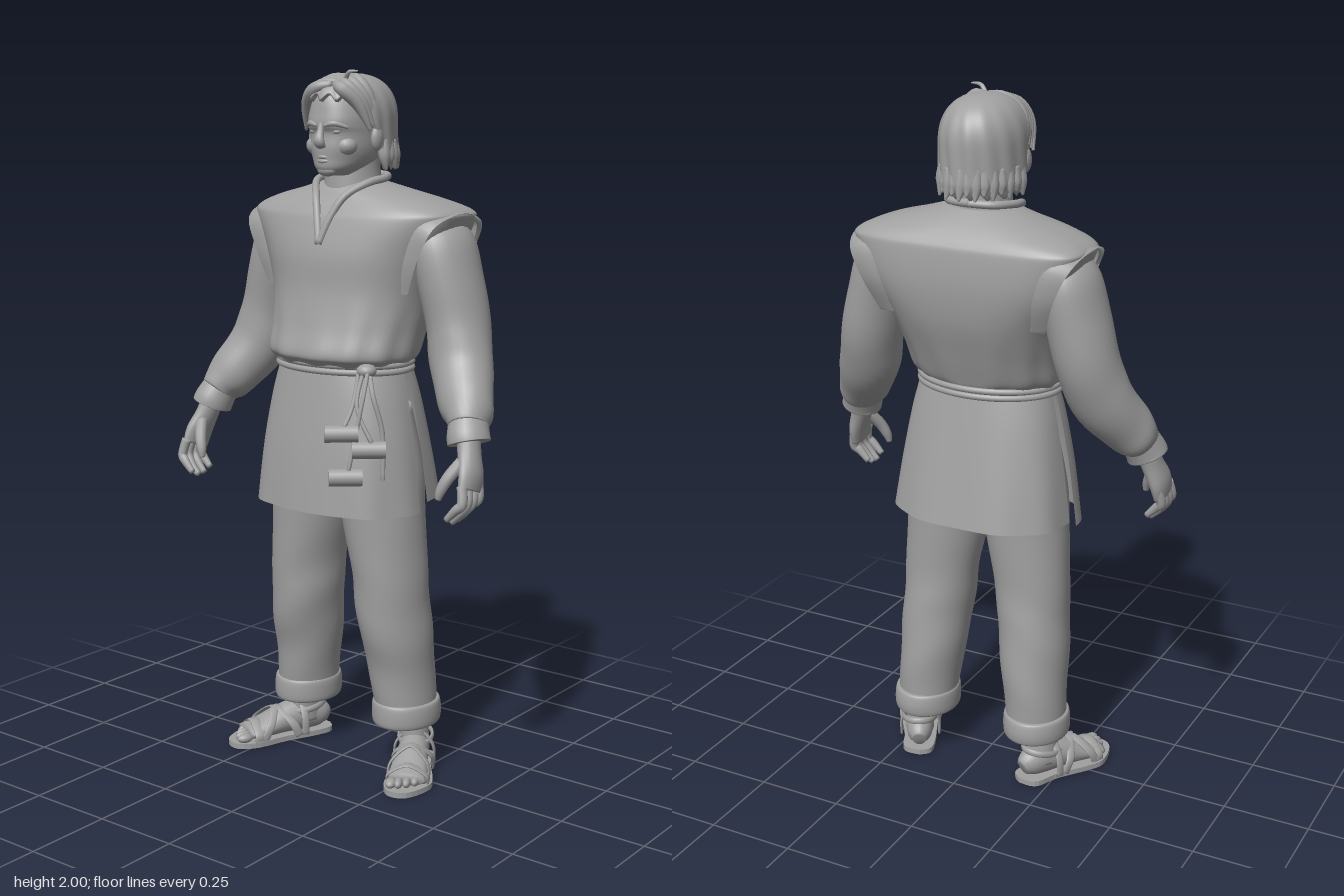
import * as THREE from 'three';

const grey = new THREE.MeshStandardMaterial({ color: 0xa0a0a0, side: THREE.DoubleSide });
grey.name = 'clay grey';
const { smoothstep, lerp } = THREE.MathUtils;

// Smooth interpolation through rows of numbers
function spline(rows, sub) {
  const row = i => rows[Math.min(Math.max(i, 0), rows.length - 1)];
  return Array.from({ length: (rows.length - 1) * sub + 1 }, (_, n) => {
    const i = Math.floor(n / sub), t = n / sub - i, [p, a, b, q] = [-1, 0, 1, 2].map(k => row(i + k));
    return a.map((v, j) => v + 0.5 * t * (b[j] - p[j] + t * (2 * p[j] - 5 * v + 4 * b[j] - q[j] + t * (3 * (v - b[j]) + q[j] - p[j]))));
  });
}

// Surface through rings of points, listed from top to bottom
function skin(rings, closed = true) {
  const n = rings[0].length, index = [];
  for (let i = 0; i < rings.length - 1; i++)
    for (let j = 0; j < (closed ? n : n - 1); j++) {
      const a = i * n + j, c = i * n + (j + 1) % n;
      index.push(a, c, a + n, c, c + n, a + n);
    }
  const g = new THREE.BufferGeometry().setFromPoints(rings.flat());
  g.setIndex(index);
  g.computeVertexNormals();
  return g;
}

function middle(ring) {
  const c = ring.reduce((s, p) => s.add(p), new THREE.Vector3()).divideScalar(ring.length);
  return ring.map(() => c);
}
const capped = rings => [middle(rings[0]), ...rings, middle(rings[rings.length - 1])];
const signedPow = (v, e) => Math.sign(v) * Math.abs(v) ** e;

// Horizontal sections: [y, centre x, half width, widest z, front z, back z, roundness front, back]
function loft(rows, { a0 = 0, a1 = Math.PI * 2, seg = 48, fold = () => 0 } = {}) {
  const open = a1 - a0 < 6.28;
  const rings = spline(rows.map(r => [...r, 2, 2].slice(0, 8)), 6).map(([y, cx, w, cz, zf, zb, nf, nb]) =>
    Array.from({ length: open ? seg + 1 : seg }, (_, j) => {
      const a = a0 + (a1 - a0) * j / seg, s = Math.sin(a), e = 2 / (s > 0 ? nf : nb), k = 1 + fold(y, a);
      const depth = s > 0 ? zf - cz : cz - zb;
      return new THREE.Vector3(cx + k * w * signedPow(Math.cos(a), e), y, cz + k * depth * signedPow(s, e));
    }));
  return skin(open ? rings : capped(rings), !open);
}

// Tapered tube along points [x, y, z, radius across, radius along ref]
function limb(points, ref = [0, 0, 1], seg = 14, fold = () => 0) {
  const rows = spline(points.map(p => [...p, p[3]].slice(0, 5)), 5);
  const at = i => new THREE.Vector3(...rows[Math.min(Math.max(i, 0), rows.length - 1)].slice(0, 3));
  return skin(capped(rows.map((r, i) => {
    const t = at(i + 1).sub(at(i - 1)).normalize(), v = new THREE.Vector3(...ref);
    v.addScaledVector(t, -v.dot(t)).normalize();
    const u = v.clone().cross(t);
    return Array.from({ length: seg }, (_, j) => {
      const a = j / seg * Math.PI * 2, k = 1 + fold(i / rows.length, a);
      return at(i).addScaledVector(u, Math.cos(a) * r[3] * k).addScaledVector(v, Math.sin(a) * r[4] * k);
    });
  })));
}

function add(parent, name, geometry, pos = [0, 0, 0], scale = [1, 1, 1], turn = [0, 0, 0]) {
  const m = new THREE.Mesh(geometry, grey);
  m.name = name;
  m.position.set(...pos);
  m.scale.set(...scale);
  m.rotation.set(...turn);
  parent.add(m);
}
const ball = (parent, name, pos, scale) => add(parent, name, new THREE.SphereGeometry(1, 18, 12), pos, scale);

function makeHead(g) {
  add(g, 'skull', loft([
    [1.965, 0, 0.05, -0.04, 0.05, -0.1], [1.93, 0, 0.082, -0.04, 0.085, -0.14], [1.88, 0, 0.09, -0.04, 0.097, -0.16, 2.4],
    [1.85, 0, 0.092, -0.04, 0.1, -0.16, 2.4], [1.828, 0, 0.092, -0.04, 0.09, -0.15, 2.4], [1.79, 0, 0.09, -0.03, 0.093, -0.14, 2.2],
    [1.76, 0, 0.082, -0.02, 0.092, -0.12], [1.735, 0, 0.064, 0, 0.09, -0.1], [1.715, 0, 0.038, 0.02, 0.076, -0.07]]));
  add(g, 'neck', loft([[1.78, 0, 0.075, -0.05, 0.03, -0.13], [1.72, 0, 0.075, -0.05, 0.035, -0.13], [1.62, 0, 0.09, -0.05, 0.04, -0.13]]));
  add(g, 'nose', limb([[0, 1.862, 0.09, 0.009], [0, 1.835, 0.098, 0.01], [0, 1.808, 0.105, 0.016, 0.013], [0, 1.793, 0.095, 0.015, 0.008]]));
  for (const [name, edge, y] of [['upperLip', 1.762, 1.766], ['lowerLip', 1.757, 1.754]])
    add(g, name, limb([[-0.032, edge, 0.077, 0.002], [0, y, 0.09, 0.006], [0.032, edge, 0.077, 0.002]], [0, 1, 0]));
  ball(g, 'chin', [0, 1.73, 0.068], [0.032, 0.018, 0.02]);
  for (const s of [-1, 1]) {
    ball(g, 'eye', [s * 0.036, 1.834, 0.076], [0.016, 0.008, 0.011]);
    add(g, 'brow', limb([[s * 0.012, 1.85, 0.096, 0.006], [s * 0.04, 1.856, 0.09, 0.008], [s * 0.07, 1.845, 0.066, 0.004]], [0, 1, 0]));
    ball(g, 'cheek', [s * 0.048, 1.795, 0.048], [0.034, 0.028, 0.031]);
    ball(g, 'ear', [s * 0.108, 1.815, -0.015], [0.014, 0.034, 0.022]);
  }
  // Hair shell: low at the nape, high over the forehead
  const hairPoint = (a, t) => {
    const f = Math.sin(a), hem = lerp(1.735, 1.92, smoothstep(f, -0.15, 0.6)) + 0.01 * Math.sin(15 * a);
    const y = 1.99 - (1.99 - hem) * t ** 1.6, h = Math.max((y - 1.86) / 0.13, 0);
    const r = Math.max(1 - h ** 2.4, 0) ** (1 / 2.4) * (1 + 0.022 * t * Math.sin(15 * a + 5 * t)) * (t > 0.99 ? 0.88 : 1);
    return new THREE.Vector3(0.118 * r * Math.cos(a), y, -0.04 + 0.15 * r * f);
  };
  add(g, 'hair', skin(Array.from({ length: 22 }, (_, i) => Array.from({ length: 90 }, (_, j) => hairPoint(j / 45 * Math.PI, i / 21)))));
  for (let i = 0; i < 17; i++) {
    const a = Math.PI + 0.05 + i / 16 * (Math.PI - 0.1), c = Math.cos(a), s = Math.sin(a);
    add(g, 'napeLock', limb([[0.105 * c, 1.81, -0.04 + 0.135 * s, 0.014], [0.11 * c, 1.765, -0.04 + 0.14 * s, 0.017],
      [0.116 * c, 1.728 + 0.014 * (i % 2), -0.04 + 0.155 * s, 0.003]], [0, 0.3, 1], 8));
  }
  // Locks swept from the parting down to the temples
  for (const s of [-1, 1])
    for (let i = 0; i < 4; i++)
      add(g, 'sweptLock', limb([[0.02 + s * 0.005, 1.978 - 0.006 * i, -0.01 + 0.025 * i, 0.01], [s * 0.045 + 0.01, 1.97 - 0.007 * i, 0.005 + 0.024 * i, 0.018],
        [s * 0.088, 1.93 - 0.008 * i, 0.015 * i, 0.017], [s * 0.112, 1.865 - 0.01 * i, -0.025 + 0.015 * i, 0.004]], [0, 0, 1], 10));
  add(g, 'strayLock', limb([[0.04, 1.97, 0.04, 0.008], [0.06, 1.992, 0.05, 0.006], [0.09, 1.995, 0.05, 0.002]], [0, 0, 1], 6));
}

function makeTunic(g) {
  add(g, 'tunicTop', loft([
    [1.695, 0, 0.1, -0.06, 0.02, -0.135], [1.675, 0, 0.17, -0.07, 0.04, -0.165, 2, 2.5], [1.65, 0, 0.265, -0.08, 0.055, -0.195, 2.3, 3],
    [1.62, 0, 0.333, -0.09, 0.075, -0.22, 2.5, 4.5], [1.59, 0, 0.333, -0.09, 0.09, -0.23, 2.5, 4.5], [1.5, 0, 0.29, -0.09, 0.115, -0.235, 2.3, 4],
    [1.4, 0, 0.25, -0.07, 0.122, -0.222, 2.3, 3], [1.3, 0, 0.23, -0.04, 0.142, -0.19, 2.3, 2.5], [1.23, 0, 0.222, -0.02, 0.163, -0.165, 2.3, 2.3],
    [1.205, 0, 0.212, -0.02, 0.15, -0.155, 2.2], [1.18, 0, 0.195, -0.02, 0.125, -0.14]],
  { seg: 72, fold: (y, a) => 0.016 * Math.sin(13 * a + 1) * smoothstep(1.42 - y, 0, 0.2) }));
  // Skirt split at both sides
  const skirt = (hem, back) => [[1.2, 0, 0.197, -0.025, 0.13, -0.15, 2.2, 2.2], [1.1, 0, 0.222, -0.025, 0.145, -0.17, 2.4, 2.4],
    [0.95, 0, 0.248, -0.025, 0.165, -0.2, 2.5, 2.5], [hem, 0, 0.268, -0.025, 0.18, back, 2.5, 2.5]];
  const fold = (y, a) => 0.012 * Math.sin(9 * a) * (1.2 - y) / 0.4;
  add(g, 'skirtFront', loft(skirt(0.785, -0.22), { a0: 0.05, a1: Math.PI - 0.05, fold }));
  add(g, 'skirtBack', loft(skirt(0.81, -0.228), { a0: Math.PI + 0.05, a1: Math.PI * 2 - 0.05, fold }));
  // Neckline band with a V, and shoulder caps open over the sleeves
  const band = [[0, 1.53, 0.108], [0.022, 1.6, 0.086], [0.05, 1.66, 0.055], [0.09, 1.695, 0], [0.1, 1.705, -0.06], [0.065, 1.71, -0.12], [0, 1.712, -0.138]];
  const armhole = spline([[0.245, 1.4, 0.03], [0.285, 1.5, 0.04], [0.325, 1.585, 0.02], [0.345, 1.617, -0.09], [0.33, 1.585, -0.205], [0.29, 1.5, -0.22], [0.25, 1.4, -0.185]], 6);
  const capRows = [[0.1, 0.027, 0.96], [0.045, 0.014, 1], [0, 0, 1], [0.012, -0.006, 0.93]];
  for (const s of [-1, 1]) {
    add(g, 'collar', limb(band.map(([x, y, z]) => [s * x, y, z, 0.011]), [0.3, 0.5, 1], 10));
    add(g, 'shoulderCap', skin(capRows.map(([dx, dy, k]) => armhole.map(([x, y, z]) =>
      new THREE.Vector3(s * (x - dx), y + dy * smoothstep(y, 1.45, 1.6), -0.09 + k * (z + 0.09)))), false));
  }
}

function makeBelt(g) {
  for (const y of [1.183, 1.201])
    add(g, 'ropeStrand', new THREE.TorusGeometry(1, 0.045, 8, 64).rotateX(Math.PI / 2), [0, y, -0.012], [0.208, 0.2, 0.152]);
  ball(g, 'knot', [0.16, 1.192, 0.1], [0.028, 0.02, 0.028]);
  [[0.145, 1.03, 0.195], [0.205, 0.985, 0.15], [0.16, 0.91, 0.195]].forEach(([x, y, z], i) => {
    add(g, 'toggle', new THREE.CylinderGeometry(0.024, 0.024, 0.092, 20), [x, y, z], [1, 1, 1], [0, 0.7, Math.PI / 2]);
    add(g, 'cord', limb([[0.145 + i * 0.015, 1.19, 0.115, 0.006], [0.153 + i * 0.015, 1.1, 0.155, 0.006], [x + 0.01, y + 0.02, z, 0.006]], [1, 0, 0], 8));
  });
  add(g, 'cordEnd', limb([[0.17, 1.19, 0.1, 0.007], [0.2, 1.13, 0.125, 0.007], [0.225, 1.03, 0.115, 0.007], [0.235, 0.9, 0.125, 0.006]], [1, 0, 0], 8));
}

function makeArm(g) {
  add(g, 'sleeve', limb([[0.25, 1.575, -0.095, 0.06, 0.085], [0.275, 1.52, -0.095, 0.085, 0.106], [0.305, 1.42, -0.095, 0.085, 0.105],
    [0.335, 1.3, -0.09, 0.087, 0.095], [0.36, 1.21, -0.065, 0.088, 0.085], [0.405, 1.13, -0.02, 0.08, 0.075],
    [0.435, 1.085, 0.01, 0.066, 0.068], [0.447, 1.06, 0.025, 0.052, 0.058]], [0, 0, 1], 28, (t, a) => 0.03 * Math.sin(26 * t + 2 * Math.sin(a)) * t));
  add(g, 'sleeveCuff', limb([[0.443, 1.07, 0.02, 0.052, 0.058], [0.455, 1.035, 0.038, 0.057, 0.062], [0.46, 1.02, 0.042, 0.058, 0.062]], [0, 0, 1], 24));
  add(g, 'hand', limb([[0.457, 1.04, 0.04, 0.03, 0.036], [0.47, 0.99, 0.055, 0.029, 0.04], [0.487, 0.94, 0.072, 0.026, 0.05], [0.492, 0.9, 0.085, 0.02, 0.05]], [0, 0.3, 1], 18));
  for (let i = 0; i < 4; i++) {
    const z = 0.045 + i * 0.026, low = 0.012 * Math.abs(i - 1.6);
    add(g, 'finger', limb([[0.492, 0.92, z, 0.014], [0.5, 0.875, z + 0.01, 0.014], [0.484, 0.84 + low, z + 0.016, 0.013], [0.455, 0.81 + low, z + 0.017, 0.009]], [0, 0, 1], 10));
  }
  add(g, 'thumb', limb([[0.465, 0.975, 0.085, 0.018], [0.443, 0.935, 0.115, 0.017], [0.428, 0.9, 0.128, 0.014], [0.422, 0.875, 0.132, 0.008]], [0, 0, 1], 10));
}

function makeLeg(g) {
  add(g, 'trouserLeg', loft([[1.08, 0.1, 0.1, -0.03, 0.08, -0.12], [0.9, 0.12, 0.119, -0.03, 0.097, -0.145],
    [0.77, 0.126, 0.122, -0.03, 0.095, -0.142], [0.6, 0.147, 0.108, -0.04, 0.086, -0.14], [0.5, 0.155, 0.104, -0.04, 0.082, -0.148],
    [0.4, 0.163, 0.1, -0.05, 0.068, -0.16], [0.3, 0.172, 0.093, -0.06, 0.045, -0.165], [0.18, 0.18, 0.086, -0.07, 0.028, -0.165]],
  { fold: (y, a) => 0.016 * Math.sin(30 * y + 2.5 * Math.sin(a + 1)) * smoothstep(0.75 - y, 0, 0.3) }));
  add(g, 'trouserCuff', loft([[0.208, 0.181, 0.082, -0.07, 0.026, -0.165], [0.203, 0.182, 0.093, -0.07, 0.038, -0.175],
    [0.17, 0.183, 0.096, -0.07, 0.041, -0.18], [0.142, 0.183, 0.093, -0.07, 0.038, -0.175], [0.135, 0.183, 0.08, -0.07, 0.025, -0.16]]));
  // Sandalled foot, toes turned out
  const foot = new THREE.Group();
  foot.name = 'foot';
  foot.position.set(0.246, 0, -0.008);
  foot.rotation.y = 0.48;
  g.add(foot);
  const outline = new THREE.Shape(new THREE.SplineCurve([[0, -0.168], [0.047, -0.14], [0.048, -0.06], [0.066, 0.04], [0.064, 0.1], [0.01, 0.165],
    [-0.045, 0.16], [-0.066, 0.1], [-0.052, 0], [-0.047, -0.1], [-0.035, -0.155], [0, -0.168]].map(p => new THREE.Vector2(...p))).getPoints(48));
  add(foot, 'sole', new THREE.ExtrudeGeometry(outline, { depth: 0.016, bevelEnabled: false }).rotateX(Math.PI / 2), [0, 0.016, 0]);
  add(foot, 'footBody', limb([[0, 0.045, -0.155, 0.02, 0.025], [0, 0.055, -0.13, 0.036, 0.042], [0, 0.063, -0.08, 0.042, 0.053],
    [0, 0.056, -0.01, 0.046, 0.045], [0, 0.04, 0.06, 0.054, 0.029], [0, 0.032, 0.115, 0.052, 0.018]], [0, 1, 0], 20));
  add(foot, 'ankle', limb([[-0.015, 0.2, -0.08, 0.045], [-0.005, 0.12, -0.08, 0.043, 0.048], [0, 0.05, -0.085, 0.042, 0.055]], [0, 0, 1], 18));
  for (let i = 0; i < 5; i++)
    ball(foot, 'toe', [-0.042 + i * 0.022, 0.028, 0.133 - 0.003 * i * i], [i ? 0.012 : 0.016, 0.014, 0.024]);
  // Straps: [z on the inner side, z on the outer side, crest height, half width]
  for (const [zi, zo, h, w] of [[0.09, 0.085, 0.066, 0.016], [0.075, -0.04, 0.098, 0.013], [-0.04, 0.075, 0.098, 0.013], [-0.06, -0.06, 0.126, 0.012]]) {
    const path = [[-0.058, 0.014, zi], [-0.053, h * 0.6, lerp(zi, zo, 0.2)], [0, h, (zi + zo) / 2], [0.053, h * 0.6, lerp(zi, zo, 0.8)], [0.058, 0.014, zo]];
    add(foot, 'strap', limb(path.map(p => [...p, 0.004, w]), [0, 0, 1], 10));
  }
  add(foot, 'heelStrap', new THREE.TorusGeometry(1, 0.1, 8, 32).rotateX(Math.PI / 2), [0, 0.09, -0.085], [0.049, 0.1, 0.06], [0.2, 0, 0]);
}

export function createModel() {
  const model = new THREE.Group();
  model.name = 'standingMan';
  for (const [name, make, side] of [['head', makeHead, 1], ['tunic', makeTunic, 1], ['belt', makeBelt, 1],
    ['leftArm', makeArm, 1], ['rightArm', makeArm, -1], ['leftLeg', makeLeg, 1], ['rightLeg', makeLeg, -1]]) {
    const part = new THREE.Group();
    part.name = name;
    part.scale.x = side;
    make(part);
    model.add(part);
  }
  return model;
}
